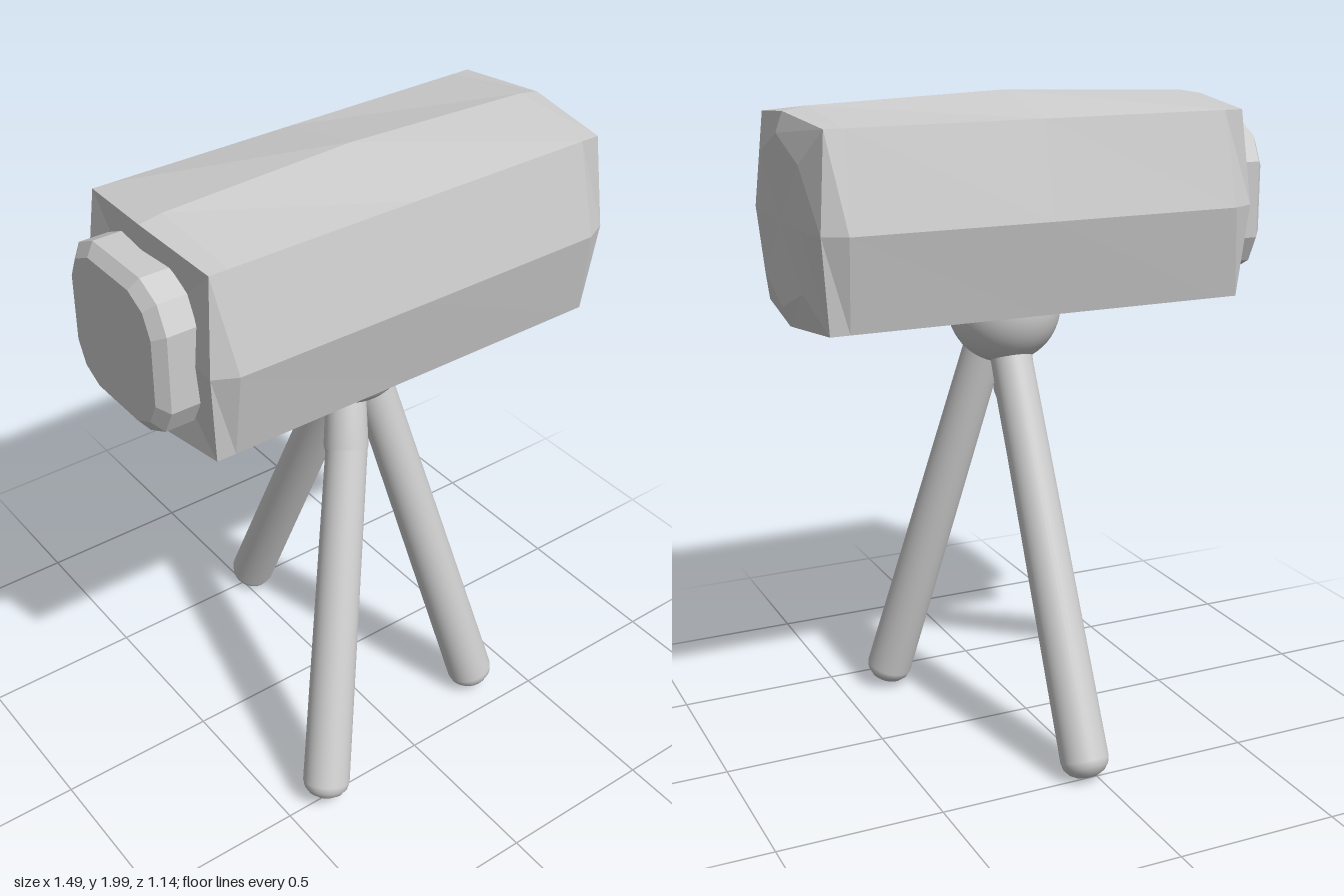
import * as THREE from 'three';

const smooth = new THREE.MeshStandardMaterial({ color: 0xcccccc });
const faceted = new THREE.MeshStandardMaterial({ color: 0xcccccc, flatShading: true });

function addMesh(parent, name, geometry, material) {
  const mesh = new THREE.Mesh(geometry, material);
  mesh.name = name;
  parent.add(mesh);
  return mesh;
}

// Skin a list of equal-length rings running along +x, each ordered from +y towards +z; both ends capped.
function loft(rings) {
  const n = rings[0].length;
  const pos = [];
  const tri = (...pts) => pts.forEach((p) => pos.push(...p));
  const centre = (ring) => [0, 1, 2].map((k) => ring.reduce((s, p) => s + p[k], 0) / n);
  for (let j = 0; j < n; j++) {
    const k = (j + 1) % n;
    for (let i = 0; i < rings.length - 1; i++) {
      const a = rings[i], b = rings[i + 1];
      tri(a[j], a[k], b[k]);
      tri(a[j], b[k], b[j]);
    }
    const first = rings[0], last = rings[rings.length - 1];
    tri(centre(first), first[k], first[j]);
    tri(centre(last), last[j], last[k]);
  }
  const geometry = new THREE.BufferGeometry();
  geometry.setAttribute('position', new THREE.Float32BufferAttribute(pos, 3));
  geometry.computeVertexNormals();
  return geometry;
}

// Eight-point section: corners at (xc, c) and bulged side middles at (xm, my / mz).
function bodyRing(xm, my, mz, xc, c) {
  return [
    [xm, my, 0], [xc, c, c], [xm, 0, mz], [xc, -c, c],
    [xm, -my, 0], [xc, -c, -c], [xm, 0, -mz], [xc, c, -c],
  ];
}

// Rounded square section with twelve points.
function roundedRing(x, size) {
  const ring = [];
  for (let q = 0; q < 4; q++) {
    const c = Math.cos(q * Math.PI / 2), s = Math.sin(q * Math.PI / 2);
    for (const [y, z] of [[0.24, -0.12], [0.24, 0.12], [0.2, 0.2]]) {
      ring.push([x, (y * c - z * s) * size, (y * s + z * c) * size]);
    }
  }
  return ring;
}

// Tapered round leg with a softly domed foot, from foot tip to top.
function addLeg(parent, name, foot, top) {
  const from = new THREE.Vector3(...foot);
  const dir = new THREE.Vector3(...top).sub(from);
  const length = dir.length();
  const profile = [[0, 0], [0.03, 0.004], [0.053, 0.016], [0.068, 0.034], [0.0735, 0.055],
    [0.064, length - 0.03], [0.045, length - 0.006], [0, length]];
  const leg = addMesh(parent, name,
    new THREE.LatheGeometry(profile.map(([r, y]) => new THREE.Vector2(r, y)), 32), smooth);
  leg.position.copy(from);
  leg.quaternion.setFromUnitVectors(new THREE.Vector3(0, 1, 0), dir.normalize());
  return leg;
}

export function createModel() {
  const model = new THREE.Group();
  model.name = 'tripodScope';

  // Barrel and eyepiece
  const scope = new THREE.Group();
  scope.name = 'scope';
  scope.position.set(0, 1.655, 0.08);
  model.add(scope);

  addMesh(scope, 'barrel', loft([
    bodyRing(-0.645, 0.31, 0.31, -0.62, 0.285),
    bodyRing(-0.575, 0.322, 0.345, -0.56, 0.285),
    bodyRing(0.035, 0.345, 0.347, 0.035, 0.285),
    bodyRing(0.65, 0.322, 0.345, 0.635, 0.285),
    bodyRing(0.72, 0.31, 0.31, 0.695, 0.285),
    bodyRing(0.741, 0.25, 0.2, 0.736, 0.18),
  ]), faceted);

  addMesh(scope, 'eyepiece', loft([
    roundedRing(-0.748, 0.84),
    roundedRing(-0.72, 0.98),
    roundedRing(-0.63, 0.98),
  ]), faceted);

  // Half-ball mount under the barrel
  const mount = addMesh(model, 'mountBall',
    new THREE.SphereGeometry(0.175, 40, 16, 0, Math.PI * 2, Math.PI / 2, Math.PI / 2), smooth);
  mount.position.set(0.035, 1.343, 0.085);
  const mountTop = addMesh(model, 'mountTop', new THREE.CircleGeometry(0.175, 40), smooth);
  mountTop.rotation.x = -Math.PI / 2;
  mountTop.position.copy(mount.position);

  // Three splayed legs
  addLeg(model, 'backLeg', [0.037, 0.016, -0.514], [0.037, 1.23, 0.045]);
  addLeg(model, 'frontLeftLeg', [0.343, 0.023, 0.39], [0.077, 1.23, 0.13]);
  addLeg(model, 'frontRightLeg', [-0.377, 0.035, 0.52], [-0.035, 1.075, 0.165]);

  // Short neck joining the right leg to the mount
  addLeg(model, 'rightLegNeck', [-0.05, 1.0, 0.18], [0.0, 1.25, 0.11]).scale.set(0.93, 1, 0.93);

  return model;
}
